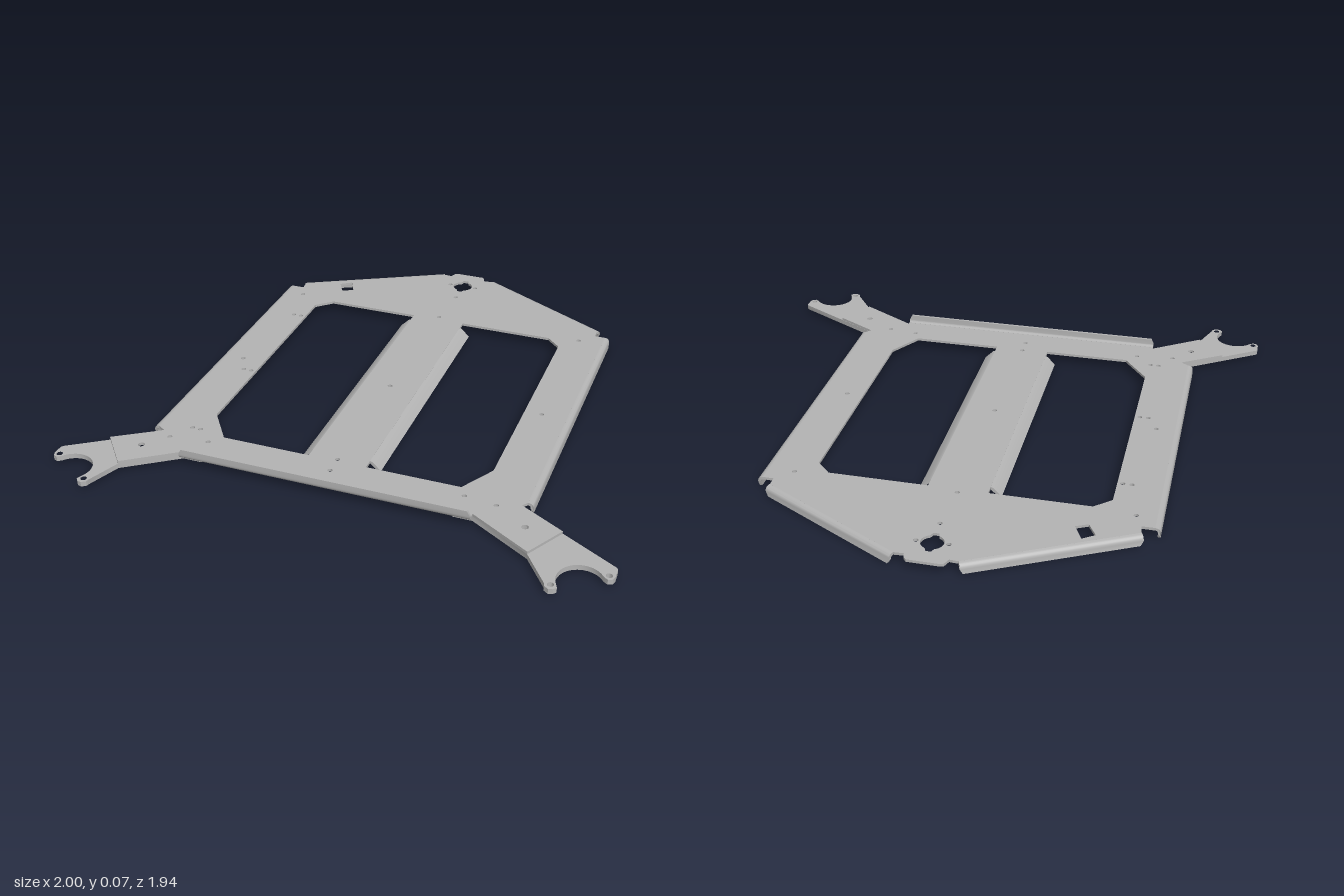
import * as THREE from 'three';
import { toCreasedNormals } from 'three/addons/utils/BufferGeometryUtils.js';

const TOP = 0.042, UNDER = 0.032;

export function createModel() {
  const group = new THREE.Group();
  const steel = new THREE.MeshStandardMaterial({ color: 0xb4b4b4 });
  steel.name = 'grey steel';

  const add = (name, geometry) => {
    const mesh = new THREE.Mesh(toCreasedNormals(geometry, 0.6), steel);
    mesh.name = name;
    group.add(mesh);
  };
  const vectors = (pts) => pts.map(([x, z]) => new THREE.Vector2(x, z));
  const roundHole = (x, z, r = 0.009) => new THREE.Path().absarc(x, z, r, 0, Math.PI * 2, true);

  // Flat plate drawn in x, z with holes, hanging down from the given height
  const plate = (name, outline, holes, top, thickness) => {
    const shape = new THREE.Shape(vectors(outline));
    shape.holes.push(...holes);
    const geo = new THREE.ExtrudeGeometry(shape, { depth: thickness, bevelEnabled: false, curveSegments: 8 });
    geo.rotateX(Math.PI / 2).translate(0, top, 0);
    add(name, geo);
  };

  // Profile (u outward, v up) swept from a to b, with chamfered free corners at height tip
  const flange = (name, a, b, profile, tip) => {
    const d = new THREE.Vector3(b[0] - a[0], 0, b[1] - a[1]);
    const length = d.length();
    d.normalize();
    const up = new THREE.Vector3(0, 1, 0);
    const out = new THREE.Vector3().crossVectors(up, d);
    const geo = new THREE.ExtrudeGeometry(profile, { depth: length, bevelEnabled: false, curveSegments: 5 });
    const p = geo.attributes.position;
    for (let i = 0; i < p.count; i++) {
      if (Math.abs(p.getY(i) - tip) < 0.001) p.setZ(i, p.getZ(i) < length / 2 ? 0.01 : length - 0.01);
    }
    geo.applyMatrix4(new THREE.Matrix4().makeBasis(out, up, d).setPosition(a[0], 0, a[1]));
    add(name, geo);
  };

  // Bent lip: dir -1 folds down, +1 folds up, ending at height tip
  const lip = (dir, tip) => {
    const outer = dir < 0 ? TOP : UNDER;
    const inner = dir < 0 ? UNDER : TOP;
    const bend = outer + dir * 0.02;
    const s = new THREE.Shape();
    s.moveTo(-0.021, outer);
    s.quadraticCurveTo(0, outer, 0, bend);
    s.lineTo(0, tip);
    s.lineTo(-0.01, tip);
    s.lineTo(-0.01, bend);
    s.quadraticCurveTo(-0.01, inner, -0.021, inner);
    return s;
  };

  // Main sheet
  const outline = [
    [-0.1, -0.965], [-0.09, -0.97], [0.025, -0.97], [0.035, -0.96], [0.04, -0.94], [0.0755, -0.942],
    [0.61, -0.652], [0.61, -0.615], [0.65, -0.615], [0.65, 0.58], [0.635, 0.6],
    [0.795, 0.69], [0.715, 0.83], [0.495, 0.7], [0.495, 0.71],
    [-0.57, 0.71], [-0.57, 0.7], [-0.755, 0.83], [-0.86, 0.705], [-0.7, 0.6],
    [-0.73, 0.58], [-0.73, -0.615], [-0.685, -0.615], [-0.69, -0.652], [-0.141, -0.942], [-0.11, -0.94],
  ];
  const cutouts = [
    // two large windows
    [[-0.57, -0.48], [-0.51, -0.535], [-0.145, -0.535], [-0.145, 0.57], [-0.475, 0.57], [-0.57, 0.44]],
    [[0.07, -0.535], [0.435, -0.535], [0.49, -0.48], [0.49, 0.44], [0.415, 0.57], [0.07, 0.57]],
    // tilted slot
    [[-0.545, -0.7], [-0.502, -0.73], [-0.47, -0.665], [-0.513, -0.643]],
  ].map((pts) => new THREE.Path(vectors(pts)));

  // Round opening with a small notch at front and back
  const opening = [];
  for (let i = 0; i < 32; i++) {
    const t = (i / 32) * Math.PI * 2;
    const r = i % 16 >= 7 && i % 16 <= 9 ? 0.052 : 0.04;
    opening.push([-0.033 + r * Math.sin(t + Math.PI / 2), -0.86 + r * Math.cos(t + Math.PI / 2)]);
  }
  cutouts.push(new THREE.Path(vectors(opening)));

  // Screw holes
  const screws = [
    [-0.03, -0.75], [-0.089, -0.86], [0.023, -0.86],
    [-0.04, 0.56], [-0.04, 0.63], [-0.515, 0.615], [0.44, 0.615], [-0.66, 0.63], [0.555, 0.63],
  ];
  for (const x of [-0.66, -0.04, 0.555]) screws.push([x, -0.555], [x, 0.035]);
  for (const [x, z] of [[-0.605, -0.37], [-0.605, 0.11], [-0.595, 0.55]]) {
    screws.push([x - 0.016, z], [x + 0.016, z]);
  }
  const armHoles = [[-0.73, 0.71], [0.675, 0.71]];
  plate('mainSheet', outline,
    [...cutouts, ...screws.map(([x, z]) => roundHole(x, z)), ...armHoles.map(([x, z]) => roundHole(x, z, 0.012))],
    TOP, 0.01);

  // Folded edges
  flange('rightSideFlange', [-0.75, 0.58], [-0.75, -0.615], lip(-1, 0), 0);
  flange('leftSideFlange', [0.67, -0.615], [0.67, 0.58], lip(-1, 0), 0);
  flange('backRightFlange', [-0.7, -0.67], [-0.15, -0.96], lip(-1, 0.004), 0.004);
  flange('backLeftFlange', [0.085, -0.96], [0.62, -0.67], lip(-1, 0.004), 0.004);
  flange('frontFlange', [0.495, 0.732], [-0.57, 0.732], lip(1, 0.072), 0.072);

  // Sloping flanges along the central strip
  const slope = new THREE.Shape(vectors([[-0.002, TOP], [0.008, 0.039], [0.04, 0.008], [0.033, 0.002], [-0.002, UNDER]]));
  flange('centreLeftFlange', [0.07, -0.495], [0.07, 0.53], slope, -1);
  flange('centreRightFlange', [-0.145, 0.53], [-0.145, -0.495], slope, -1);

  // Forked feet bolted under the two front arms
  const foot = (name, s, rootX, elbowX, frontX, boltX) => {
    const pts = [[rootX, 0.6], [0.995, 0.8], [1, 0.808], [1, 0.845], [0.995, 0.86], [0.98, 0.866], [0.968, 0.858]];
    for (let i = 0; i <= 14; i++) {
      const t = -0.62 - (i / 14) * 3;
      pts.push([0.902 + 0.077 * Math.cos(t), 0.9 + 0.077 * Math.sin(t)]);
    }
    pts.push([0.842, 0.955], [0.833, 0.966], [0.818, 0.97], [0.803, 0.96], [0.8, 0.948], [elbowX, 0.83],
      [frontX, 0.7], [frontX - 0.07, 0.7], [frontX - 0.07, 0.61], [frontX + 0.03, 0.47], [rootX - 0.04, 0.5], [rootX - 0.03, 0.58]);
    const holes = [[0.98, 0.845], [0.82, 0.947], [boltX, 0.71]].map(([x, z]) => roundHole(x * s, z, 0.011));
    plate(name, pts.map(([x, z]) => [x * s, z]), holes, UNDER, 0.019);
  };
  foot('leftFoot', 1, 0.635, 0.715, 0.495, 0.675);
  foot('rightFoot', -1, 0.7, 0.755, 0.57, 0.73);

  return group;
}
